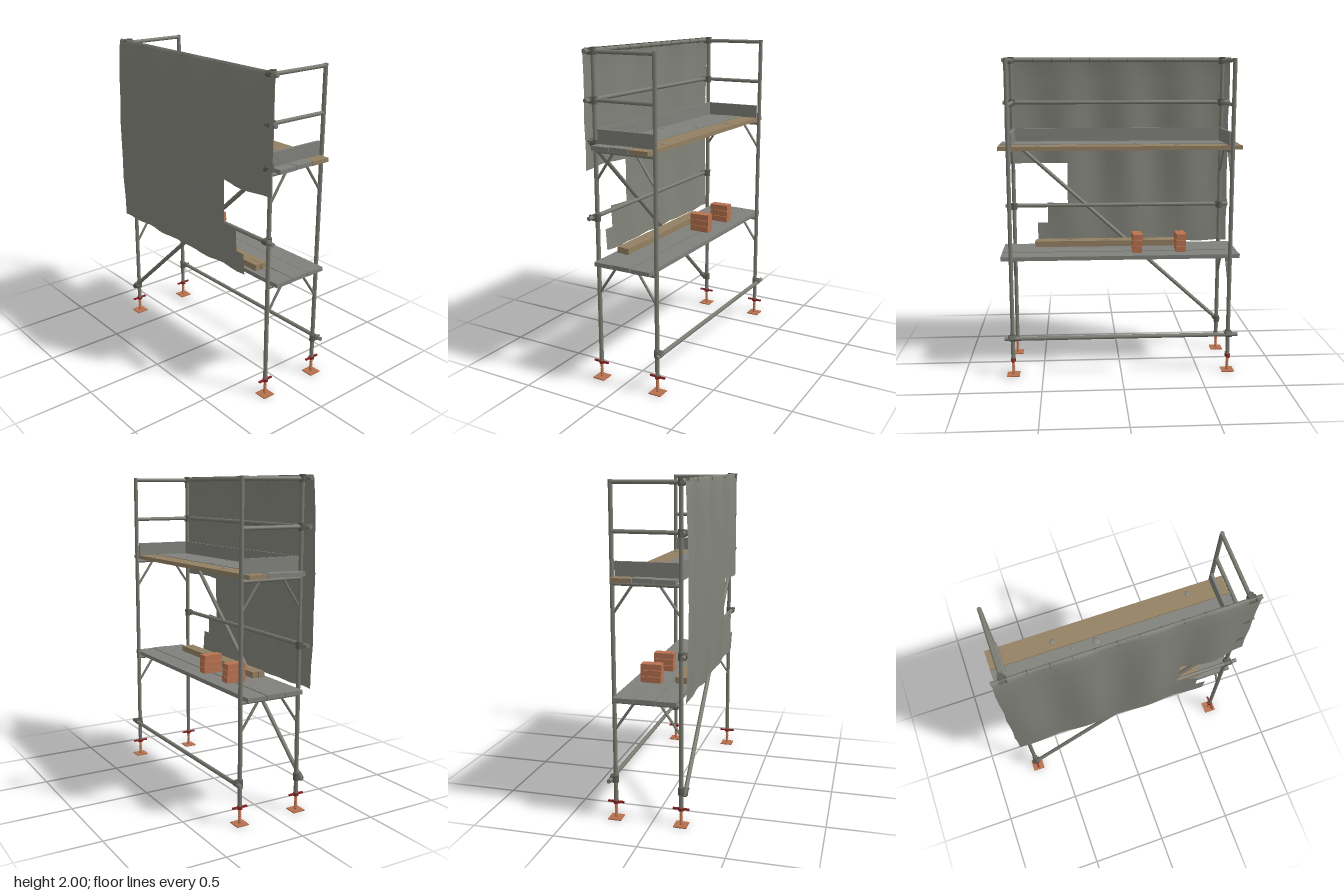
import * as THREE from 'three';

const mat = (name, color, extra = {}) => {
  const m = new THREE.MeshStandardMaterial({ color, ...extra });
  m.name = name;
  return m;
};

export function createModel() {
  const root = new THREE.Group();
  root.name = 'scaffold';
  const steel = mat('galvanised steel', 0x7b7b72);
  const clampMat = mat('dark clamp steel', 0x5e5e57);
  const boardMat = mat('grey board', 0x80817b);
  const woodMat = mat('tan timber', 0x938062);
  const brickMat = mat('brick', 0xb87250);
  const rust = mat('rusty steel', 0xb5704c);
  const red = mat('red nut', 0x8a2222);
  const sheetMat = mat('sheet', 0x82837a, { side: THREE.DoubleSide });

  const add = (name, geo, material, x = 0, y = 0, z = 0, parent = root) => {
    const m = new THREE.Mesh(geo, material);
    m.name = name;
    m.position.set(x, y, z);
    parent.add(m);
    return m;
  };
  const box = (name, w, h, d, material, x, y, z, parent) =>
    add(name, new THREE.BoxGeometry(w, h, d), material, x, y, z, parent);
  // Round bar between two points
  const bar = (name, a, b, r = 0.013, material = steel, parent = root) => {
    const p = new THREE.Vector3(...a), q = new THREE.Vector3(...b);
    const dir = q.clone().sub(p);
    const m = add(name, new THREE.CylinderGeometry(r, r, dir.length(), 10), material, 0, 0, 0, parent);
    m.position.copy(p).add(q).multiplyScalar(0.5);
    m.quaternion.setFromUnitVectors(new THREE.Vector3(0, 1, 0), dir.normalize());
    return m;
  };
  // Clamp: collar on the post, collar on the rail, and a bolt
  const clamp = (x, y, z, postZ, angle = 0) => {
    const g = new THREE.Group();
    g.name = 'clamp';
    root.add(g);
    bar('postCollar', [x, y - 0.022, postZ], [x, y + 0.022, postZ], 0.019, clampMat, g);
    const c = Math.cos(angle) * 0.02, s = Math.sin(angle) * 0.02;
    bar('railCollar', [x - c, y - s, z], [x + c, y + s, z], 0.019, clampMat, g);
    bar('clampBolt', [x + 0.022, y + 0.012, z - 0.02], [x + 0.022, y + 0.012, z + 0.02], 0.006, clampMat, g);
  };

  const postX = 0.69, frontZ = 0.175, backZ = -0.225;
  const deckLevels = [0.745, 1.435];

  // End frames with transoms, knee braces and screw jacks
  for (const s of [-1, 1]) {
    const x = s * postX;
    const frame = new THREE.Group();
    frame.name = s > 0 ? 'leftFrame' : 'rightFrame';
    root.add(frame);
    for (const z of [frontZ, backZ]) {
      bar('post', [x, 0.1, z], [x, 1.99, z], 0.013, steel, frame);
      box('basePlate', 0.08, 0.006, 0.08, rust, x, 0.003, z, frame);
      bar('jackScrew', [x, 0, z], [x, 0.12, z], 0.008, rust, frame);
      for (let i = 0; i < 6; i++)
        add('jackThread', new THREE.CylinderGeometry(0.007, 0.011, 0.007, 10), rust, x, 0.02 + i * 0.013, z, frame);
      add('jackNut', new THREE.CylinderGeometry(0.018, 0.018, 0.018, 6), red, x, 0.102, z, frame);
      box('nutHandle', 0.012, 0.01, 0.1, red, x, 0.104, z, frame);
      // Knee braces under each deck
      const inward = z > 0 ? -1 : 1;
      for (const y of deckLevels)
        bar('kneeBrace', [x, y - 0.18, z + inward * 0.008], [x, y - 0.018, z + inward * 0.12], 0.008, steel, frame);
    }
    for (const y of [0.73, 1.42, 1.71, 1.978])
      bar('transom', [x, y, backZ], [x, y, frontZ], 0.012, steel, frame);
    box('endToeBoard', 0.016, 0.085, 0.375, boardMat, x - s * 0.012, 1.502, -0.024, frame);
  }
  box('frontToeBoard', 1.35, 0.085, 0.012, boardMat, 0, 1.502, 0.156);

  // Long rails on the front, ledger at the back, diagonal brace
  const railZ = 0.196, ledgerZ = -0.25;
  for (const y of [1.025, 1.71, 1.982]) {
    bar('guardRail', [-0.75, y, railZ], [0.75, y, railZ]);
    for (const s of [-1, 1]) clamp(s * postX, y - 0.002, railZ, frontZ);
  }
  bar('backLedger', [-0.745, 0.25, ledgerZ], [0.74, 0.25, ledgerZ]);
  for (const s of [-1, 1]) clamp(s * postX, 0.25, ledgerZ + 0.006, backZ);
  bar('diagonalBrace', [-0.71, 0.195, 0.201], [0.71, 1.478, 0.201]);
  clamp(-postX, 0.214, 0.199, frontZ, 0.73);
  clamp(postX, 1.463, 0.199, frontZ, 0.73);

  // Decks of three planks each
  deckLevels.forEach((y, level) => {
    [[-0.153, 0.124], [-0.025, 0.122], [0.1, 0.122]].forEach(([z, w], i) => {
      const tan = level === 1 && i === 0;
      box('plank', 1.51, 0.025, w, tan ? woodMat : boardMat, 0, y + 0.0125 + (i === 1 ? 0.002 : 0), z);
    });
  });

  // Mortar splashes on the upper deck
  for (const [x, z, r] of [[-0.36, -0.14, 0.018], [0.51, -0.17, 0.016], [-0.11, -0.06, 0.025],
    [-0.26, -0.06, 0.012], [0.03, 0.12, 0.012]]) {
    add('mortarSplash', new THREE.SphereGeometry(r, 10, 6), boardMat, x, 1.461, z).scale.y = 0.3;
  }

  // Brick stacks and loose timbers on the lower deck
  for (const x of [-0.11, -0.39])
    for (let i = 0; i < 3; i++) {
      const b = box('brick', 0.062, 0.037, 0.128, brickMat, x, 0.791 + i * 0.0395, -0.085);
      b.rotation.y = (i - 1) * 0.04;
    }
  box('timber', 0.93, 0.038, 0.04, woodMat, 0.085, 0.789, 0.077);
  box('timber', 0.93, 0.038, 0.04, woodMat, 0.08, 0.789, 0.119);

  // Hanging sheet: folds across, bulging at mid height, with a torn corner
  const cols = 22, rows = 9, pos = [], index = [];
  for (let r = 0; r <= rows + 1; r++)
    for (let c = 0; c <= cols; c++) {
      const t = Math.min(r / rows, 1);
      const x = -0.75 + (1.49 * c) / cols;
      const fold = 0.5 + 0.5 * Math.cos((2 * Math.PI * (x - 0.13)) / 0.4);
      const size = 0.048 - 0.02 * Math.abs(x + 0.07);
      const bulge = 0.22 + 0.78 * Math.sin(Math.PI * Math.min(1, t * 0.96 + 0.02));
      const lip = r > rows;
      const edge = c === 0 || c === cols ? 0.004 * Math.sin(r * 2.3) : 0;
      const hem = r === 0 ? 0.004 * Math.sin(c * 1.7) : 0;
      pos.push(x + edge, lip ? 1.999 : 0.767 + 1.215 * t + hem,
        lip ? 0.2 : 0.208 + size * fold * bulge + 0.004 * (1 - t));
    }
  // Number of columns kept in the lowest rows
  const keep = [19, 18, 16, 16];
  keep[0] = 19;
  for (let r = 0; r <= rows; r++)
    for (let c = 0; c < (keep[r] ?? cols); c++) {
      const a = r * (cols + 1) + c, b = a + cols + 1;
      index.push(a, a + 1, b + 1, a, b + 1, b);
    }
  const sheet = new THREE.BufferGeometry();
  sheet.setAttribute('position', new THREE.Float32BufferAttribute(pos, 3));
  sheet.setIndex(index);
  sheet.computeVertexNormals();
  add('sheet', sheet, sheetMat);

  // Ties holding the sheet to the top rail
  for (let i = 0; i < 12; i++)
    add('sheetTie', new THREE.TorusGeometry(0.014, 0.002, 5, 12), clampMat, -0.68 + i * 0.123, 1.982, railZ)
      .rotation.y = Math.PI / 2;

  return root;
}
